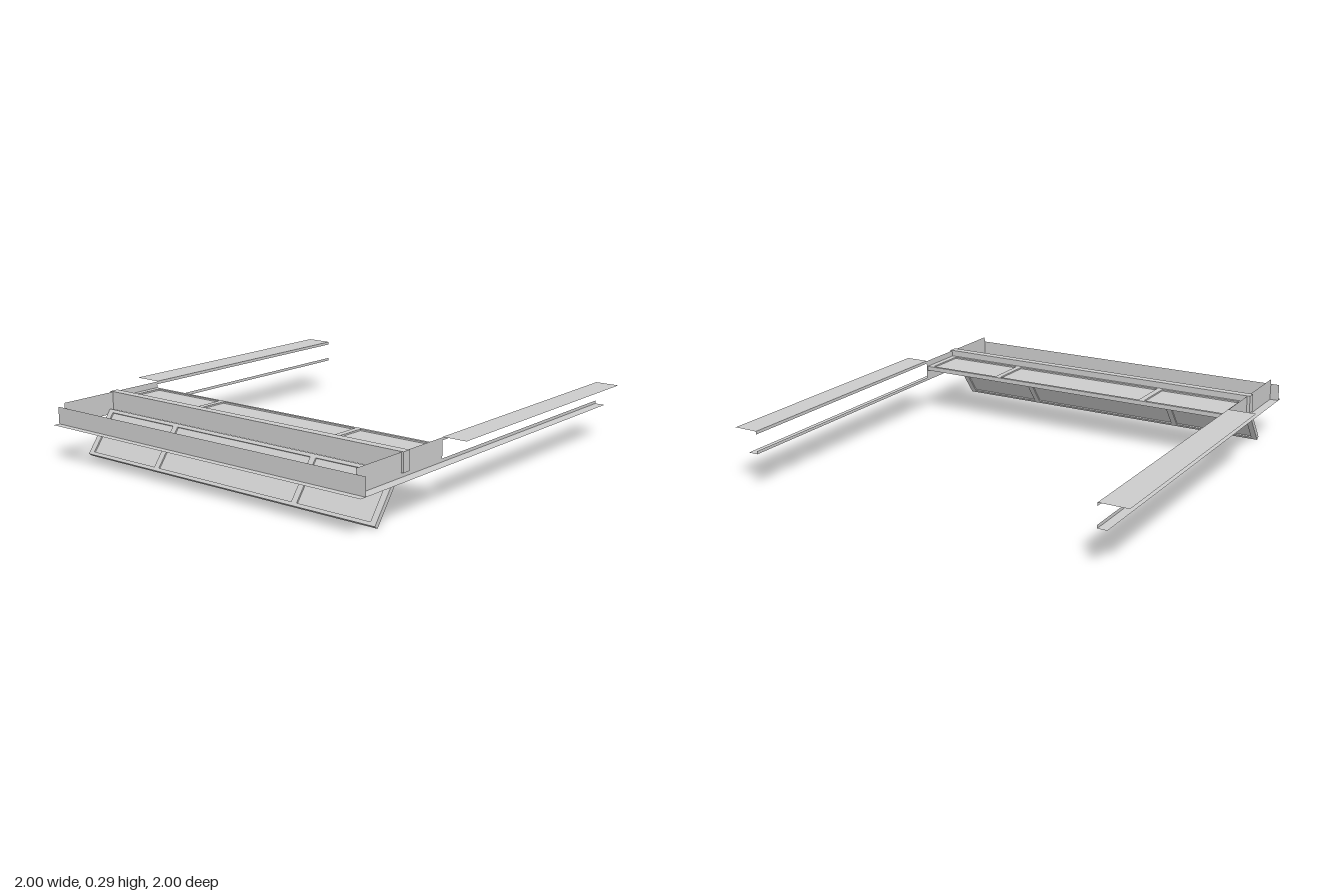
import * as THREE from 'three';

const solid = new THREE.MeshStandardMaterial({ color: 0xcccccc });
const sheet = new THREE.MeshStandardMaterial({ color: 0xcccccc, side: THREE.DoubleSide, flatShading: true });

// Box given by its limits on each axis
function box(parent, name, [x0, x1], [y0, y1], [z0, z1]) {
  const mesh = new THREE.Mesh(new THREE.BoxGeometry(x1 - x0, y1 - y0, z1 - z0), solid);
  mesh.position.set((x0 + x1) / 2, (y0 + y1) / 2, (z0 + z1) / 2);
  mesh.name = name;
  parent.add(mesh);
  return mesh;
}

// Folded thin sheet: the fold line is swept from start to end
function foldedSheet(parent, name, start, end) {
  const positions = [];
  for (let i = 0; i < start.length - 1; i++) {
    const [a, b, c, d] = [start[i], start[i + 1], end[i + 1], end[i]];
    positions.push(...a, ...b, ...c, ...a, ...c, ...d);
  }
  const geometry = new THREE.BufferGeometry();
  geometry.setAttribute('position', new THREE.Float32BufferAttribute(positions, 3));
  geometry.computeVertexNormals();
  const mesh = new THREE.Mesh(geometry, sheet);
  mesh.name = name;
  parent.add(mesh);
}

// Profile of [x, y] points swept along z
function alongZ(parent, name, profile, z0, z1) {
  const at = z => profile.map(([x, y]) => [x, y, z]);
  foldedSheet(parent, name, at(z0), at(z1));
}

// Framed panel with two dividing bars, lying flat and reaching from z = 0 to z = length
function framedPanel(name, length) {
  const panel = new THREE.Group();
  panel.name = name;
  const [x0, x1, half] = [-0.855, 0.872, 0.011];
  const thick = [-half, half];
  box(panel, 'innerFrameBar', [x0, x1], thick, [0, 0.016]);
  box(panel, 'outerFrameBar', [x0, x1], thick, [length - 0.016, length]);
  box(panel, 'rightFrameBar', [x0, x0 + 0.03], thick, [0.016, length - 0.016]);
  box(panel, 'leftFrameBar', [x1 - 0.03, x1], thick, [0.016, length - 0.016]);
  for (const x of [-0.395, 0.437]) {
    box(panel, 'dividingBar', [x - 0.015, x + 0.015], thick, [0.016, length - 0.016]);
  }
  box(panel, 'panelSheet', [x0 + 0.03, x1 - 0.03], [-0.004, 0.004], [0.016, length - 0.016]);
  return panel;
}

export function createModel() {
  const model = new THREE.Group();
  model.name = 'slidingTrayFrame';

  // Each side: inner edge, lower flange edge and upper flange edge
  const sides = [
    ['left', 0.875, 0.925, 0.995],
    ['right', -0.86, -0.905, -1.0],
  ];
  for (const [side, inner, lower, upper] of sides) {
    alongZ(model, side + 'SidePlate', [[inner, 0.288], [inner, 0.18], [lower, 0.18]], 0.37, 0.965);
    alongZ(model, side + 'UpperRail', [[inner, 0.275], [inner, 0.29], [upper, 0.29]], -1, 0.37);
    alongZ(model, side + 'LowerRail', [[inner, 0.195], [inner, 0.18], [lower, 0.18]], -1, 0.37);
  }

  // Front plate with a flange along its foot
  const frontProfile = [[0.263, 0.965], [0.18, 0.965], [0.18, 0.998]];
  const frontAt = x => frontProfile.map(([y, z]) => [x, y, z]);
  foldedSheet(model, 'frontPlate', frontAt(-0.905), frontAt(0.925));

  // Cross bar between the two panels
  box(model, 'crossBar', [-0.875, 0.885], [0.2, 0.29], [0.622, 0.665]);

  // Flat rear panel
  const rear = framedPanel('rearPanel', 0.247);
  rear.position.set(0, 0.248, 0.375);
  model.add(rear);

  // Hanging front flap
  const flap = framedPanel('frontFlap', 0.243);
  flap.position.set(0, 0.202, 0.682);
  flap.rotation.x = 0.93;
  model.add(flap);

  return model;
}
